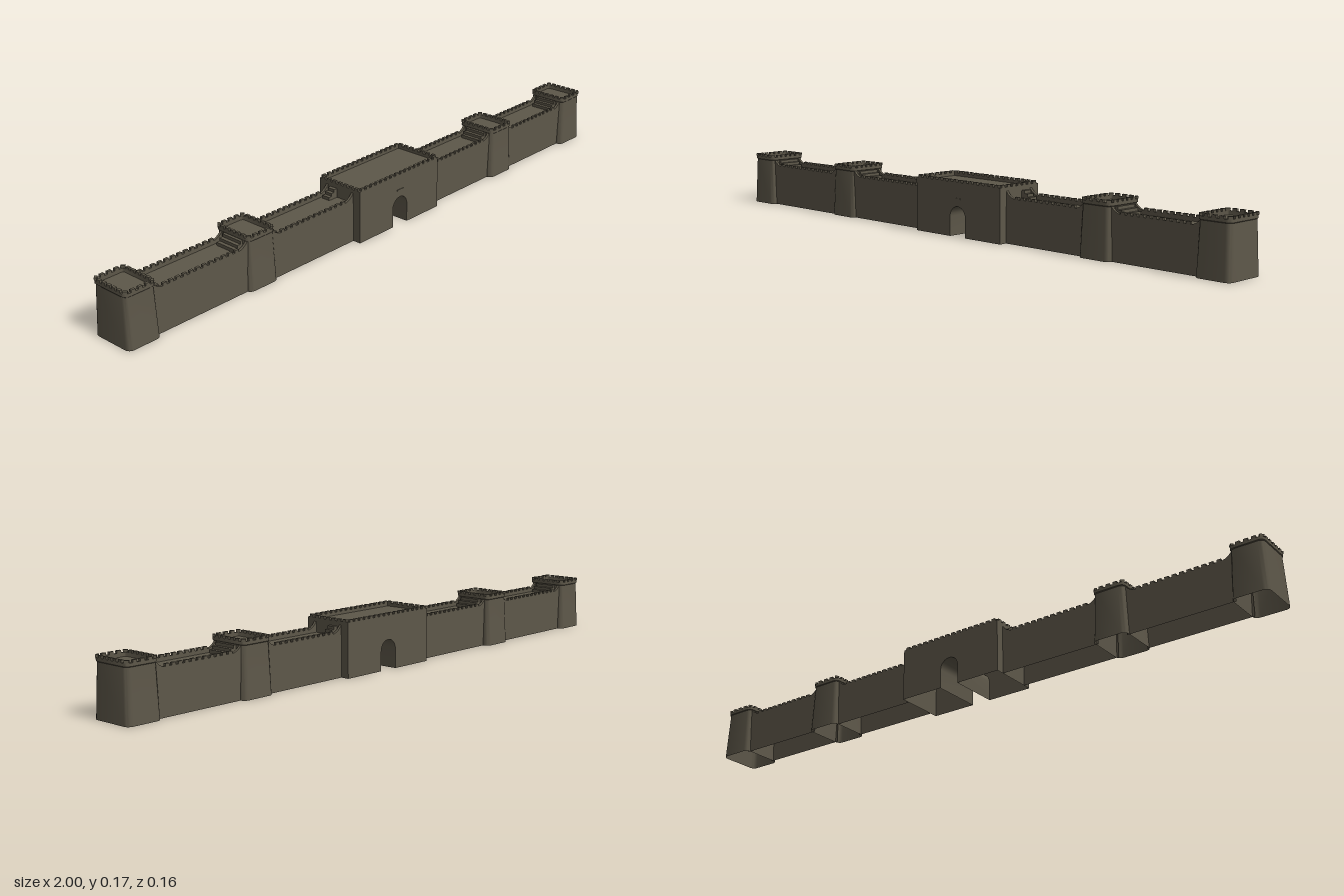
import * as THREE from 'three';
import { mergeGeometries, toCreasedNormals } from 'three/addons/utils/BufferGeometryUtils.js';

const stone = new THREE.MeshStandardMaterial({ color: 0x5d5749, side: THREE.DoubleSide });
stone.name = 'stone';

const PITCH = 0.022, TOOTH = 0.013, THICK = 0.008;

function add(parent, name, geometry) {
  const mesh = new THREE.Mesh(geometry, stone);
  mesh.name = name;
  parent.add(mesh);
  return mesh;
}

function box(x0, x1, y0, y1, z0, z1) {
  return new THREE.BoxGeometry(x1 - x0, y1 - y0, z1 - z0)
    .translate((x0 + x1) / 2, (y0 + y1) / 2, (z0 + z1) / 2);
}

// Rounded rectangle seen from above: half sizes, corner radius, height
function ring(hx, hz, r, y) {
  const pts = [];
  for (let c = 0; c < 4; c++) {
    const sx = c === 0 || c === 3 ? 1 : -1, sz = c < 2 ? 1 : -1;
    for (let i = 0; i <= 4; i++) {
      const a = (c + i / 4) * Math.PI / 2;
      pts.push(new THREE.Vector3(sx * (hx - r) + r * Math.cos(a), y, sz * (hz - r) + r * Math.sin(a)));
    }
  }
  return pts;
}

// Skin joining rings from the bottom up, open below and closed by the last ring
function loft(rings) {
  const pos = [], n = rings[0].length;
  const tri = (...p) => p.forEach(v => pos.push(v.x, v.y, v.z));
  for (let k = 0; k < rings.length - 1; k++) {
    for (let i = 0; i < n; i++) {
      const j = (i + 1) % n, a = rings[k], b = rings[k + 1];
      tri(a[i], b[i], b[j]);
      tri(a[i], b[j], a[j]);
    }
  }
  const top = rings[rings.length - 1];
  for (let i = 1; i < n - 1; i++) tri(top[0], top[i + 1], top[i]);
  const g = new THREE.BufferGeometry();
  g.setAttribute('position', new THREE.Float32BufferAttribute(pos, 3));
  g.computeVertexNormals();
  return toCreasedNormals(g, 0.7);
}

// Row of merlons between two points
function merlonRow(ax, az, bx, bz, y0, y1) {
  const len = Math.hypot(bx - ax, bz - az), out = [];
  const count = Math.max(1, Math.round(len / PITCH));
  for (let i = 0; i < count; i++) {
    const t = (i + 0.5) / count;
    const g = new THREE.BoxGeometry(TOOTH, y1 - y0, THICK);
    g.rotateY(-Math.atan2(bz - az, bx - ax));
    g.translate(ax + (bx - ax) * t, (y0 + y1) / 2, az + (bz - az) * t);
    out.push(g);
  }
  return out;
}

function merlonLoop(hx, hz, y0, y1) {
  return mergeGeometries([
    ...merlonRow(-hx, hz, hx, hz, y0, y1), ...merlonRow(-hx, -hz, hx, -hz, y0, y1),
    ...merlonRow(hx, -hz, hx, hz, y0, y1), ...merlonRow(-hx, -hz, -hx, hz, y0, y1),
  ]);
}

// Tapered tower with rounded corners, sunken roof and merlons
function tower(name, x0, x1, z) {
  const g = new THREE.Group(), hx = (x1 - x0) / 2;
  g.name = name;
  g.position.set((x0 + x1) / 2, 0, z);
  add(g, 'towerBody', loft([
    ring(hx, 0.07, 0.016, 0), ring(hx - 0.005, 0.064, 0.015, 0.15),
    ring(hx - 0.003, 0.066, 0.015, 0.152), ring(hx - 0.003, 0.066, 0.015, 0.161),
    ring(hx - 0.011, 0.058, 0.008, 0.161), ring(hx - 0.011, 0.058, 0.008, 0.15),
  ]));
  const r = 0.012;
  const ax = hx - 0.007, az = 0.062, teeth = [];
  for (const s of [-1, 1]) {
    teeth.push(...merlonRow(-ax + r, s * az, ax - r, s * az, 0.161, 0.168));
    teeth.push(...merlonRow(s * ax, -az + r, s * ax, az - r, 0.161, 0.168));
    for (const t of [-1, 1]) {
      const corner = new THREE.BoxGeometry(TOOTH, 0.007, THICK).rotateY(s * t * Math.PI / 4);
      teeth.push(corner.translate(s * (ax - 0.003), 0.1645, t * (az - 0.003)));
    }
  }
  add(g, 'towerMerlons', mergeGeometries(teeth));
  return g;
}

// Curtain wall: hollow below, walkway between parapets that sweep up at both ends
function curtainWall(name, x0, x1, leftGate, rightGate) {
  const g = new THREE.Group(), zb = -0.053, zf = 0.055, walk = 0.122;
  g.name = name;
  for (const z of [zb, zf]) {
    const face = new THREE.PlaneGeometry(x1 - x0, walk);
    if (z === zb) face.rotateY(Math.PI);
    add(g, 'wallFace', face.translate((x0 + x1) / 2, walk / 2, z));
  }
  const floor = new THREE.PlaneGeometry(x1 - x0, zf - zb).rotateX(-Math.PI / 2);
  add(g, 'walkway', floor.translate((x0 + x1) / 2, walk, (zf + zb) / 2));

  const s = new THREE.Shape();
  s.moveTo(x0, walk);
  s.lineTo(x1, walk);
  s.lineTo(x1, 0.154);
  s.quadraticCurveTo(x1 - 0.012, 0.137, x1 - 0.03, 0.133);
  s.lineTo(x0 + 0.03, 0.133);
  s.quadraticCurveTo(x0 + 0.012, 0.137, x0, 0.154);
  s.closePath();
  const teeth = [];
  for (const z of [zb, zf - THICK]) {
    const parapet = new THREE.ExtrudeGeometry(s, { depth: THICK, bevelEnabled: false, curveSegments: 5 });
    add(g, 'parapet', parapet.translate(0, 0, z));
    teeth.push(...merlonRow(x0 + 0.03, z + THICK / 2, x1 - 0.03, z + THICK / 2, 0.133, 0.14));
  }
  add(g, 'wallMerlons', mergeGeometries(teeth));

  // Steps climbing to the neighbouring roofs
  const steps = [];
  for (const [x, dir, gate] of [[x0, 1, leftGate], [x1, -1, rightGate]]) {
    const [za, zc] = gate ? [-0.036, -0.01] : [-0.034, 0.038];
    for (let i = 0; i < 3; i++) {
      const e = x + dir * (0.012 + 0.011 * i);
      steps.push(box(Math.min(x, e), Math.max(x, e), walk, 0.15 - i * 0.009, za, zc));
    }
  }
  add(g, 'steps', mergeGeometries(steps));
  return g;
}

// Gatehouse with an arched passage running front to back
function gatehouse() {
  const g = new THREE.Group();
  g.name = 'gatehouse';
  const x0 = -0.145, x1 = 0.21, zb = -0.08, zf = 0.081, top = 0.165, roof = 0.156;
  const cx = 0.034, r = 0.032, spring = 0.06;
  const arch = [[cx - r, 0]];
  for (let i = 0; i <= 12; i++) {
    const a = Math.PI * (1 - i / 12);
    arch.push([cx + r * Math.cos(a), spring + r * Math.sin(a)]);
  }
  arch.push([cx + r, 0]);
  const outline = [[x0, 0], ...arch, [x1, 0], [x1, top], [x0, top]];
  const shape = new THREE.Shape(outline.map(p => new THREE.Vector2(...p)));
  add(g, 'frontFace', new THREE.ShapeGeometry(shape).translate(0, 0, zf));
  const back = new THREE.ShapeGeometry(shape).rotateY(Math.PI);
  add(g, 'backFace', back.translate(0, 0, zb).scale(-1, 1, 1));

  // Passage lining
  const pos = [];
  for (let i = 0; i < arch.length - 1; i++) {
    const [ax, ay] = arch[i], [bx, by] = arch[i + 1];
    pos.push(ax, ay, zf, ax, ay, zb, bx, by, zb, ax, ay, zf, bx, by, zb, bx, by, zf);
  }
  const lining = new THREE.BufferGeometry();
  lining.setAttribute('position', new THREE.Float32BufferAttribute(pos, 3));
  lining.computeVertexNormals();
  add(g, 'passage', toCreasedNormals(lining, 0.5));

  for (const [x, dir] of [[x0, -1], [x1, 1]]) {
    const side = new THREE.PlaneGeometry(zf - zb, top).rotateY(dir * Math.PI / 2);
    add(g, 'sideFace', side.translate(x, top / 2, (zf + zb) / 2));
  }
  const mx = (x0 + x1) / 2, mz = (zf + zb) / 2, hx = (x1 - x0) / 2, hz = (zf - zb) / 2;
  const deck = new THREE.PlaneGeometry(hx * 2, hz * 2).rotateX(-Math.PI / 2);
  add(g, 'roof', deck.translate(mx, roof, mz));
  add(g, 'parapet', mergeGeometries([
    box(x0, x1, roof, top, zf - THICK, zf), box(x0, x1, roof, top, zb, zb + THICK),
    box(x0, x0 + THICK, roof, top, zb, zf), box(x1 - THICK, x1, roof, top, zb, zf),
  ]));
  const teeth = merlonLoop(hx - THICK / 2, hz - THICK / 2, top, 0.172);
  add(g, 'gatehouseMerlons', teeth.translate(mx, 0, mz));
  // Small ledge above the arch
  add(g, 'ledge', box(cx - 0.013, cx + 0.013, 0.113, 0.117, zf, zf + 0.002));
  return g;
}

export function createModel() {
  const model = new THREE.Group();
  model.name = 'fortressWall';
  model.add(
    tower('rightEndTower', -1, -0.892, 0.001),
    tower('rightMiddleTower', -0.574, -0.466, -0.003),
    tower('leftMiddleTower', 0.498, 0.608, 0.001),
    tower('leftEndTower', 0.89, 1, 0.002),
    curtainWall('rightOuterWall', -0.9, -0.566, false, false),
    curtainWall('rightInnerWall', -0.474, -0.145, false, true),
    curtainWall('leftInnerWall', 0.21, 0.506, true, false),
    curtainWall('leftOuterWall', 0.6, 0.898, false, false),
    gatehouse(),
  );
  return model;
}
